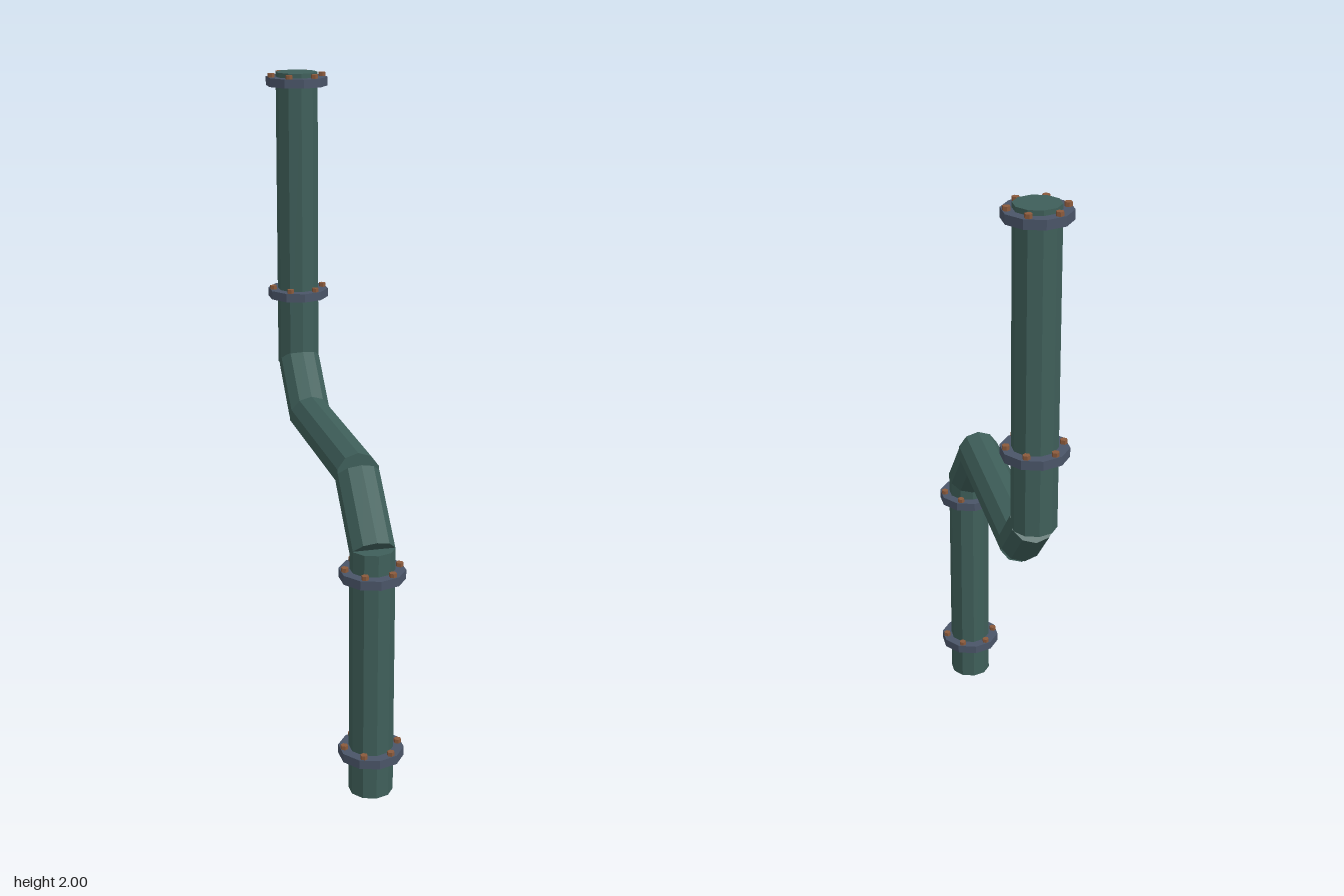
import * as THREE from 'three';

const SIDES = 10;
const PIPE_R = 0.0655;
const FLANGE_R = 0.0965;
const RUN_Z = 0.4535; // distance of each vertical run from the centre

const mat = (name, color) => {
  const m = new THREE.MeshStandardMaterial({ color });
  m.name = name;
  m.flatShading = true;
  return m;
};

export function createModel() {
  const group = new THREE.Group();
  group.name = 'pipe';
  const green = mat('pipeGreen', 0x3f5f5a);
  const steel = mat('flangeSteel', 0x4a5568);
  const rust = mat('boltRust', 0x8b5a3c);

  // Straight capped pipe between two [y, z] points in the x = 0 plane
  const addPipe = (name, [y0, z0], [y1, z1]) => {
    const a = new THREE.Vector3(0, y0, z0);
    const b = new THREE.Vector3(0, y1, z1);
    const dir = b.clone().sub(a);
    const pipe = new THREE.Mesh(
      new THREE.CylinderGeometry(PIPE_R, PIPE_R, dir.length(), SIDES), green);
    pipe.name = name;
    pipe.position.copy(a).add(b).multiplyScalar(0.5);
    pipe.quaternion.setFromUnitVectors(new THREE.Vector3(0, 1, 0), dir.normalize());
    group.add(pipe);
  };

  addPipe('lowerPipe', [0, RUN_Z], [0.768, RUN_Z]);
  addPipe('lowerElbow', [0.755, 0.456], [0.928, 0.286]);
  addPipe('crossPipe', [0.933, 0.296], [0.933, -0.312]);
  addPipe('upperElbow', [0.937, -0.303], [1.075, -0.441]);
  addPipe('upperPipe', [1.066, -RUN_Z], [2, -RUN_Z]);

  // Flange collar with a ring of six bolt heads on top
  const flangeGeo = new THREE.CylinderGeometry(FLANGE_R, FLANGE_R, 0.027, SIDES);
  const boltGeo = new THREE.CylinderGeometry(0.011, 0.011, 0.02, 6);
  const addFlange = (name, y, z) => {
    const flange = new THREE.Group();
    flange.name = name;
    flange.position.set(0, y, z);
    const collar = new THREE.Mesh(flangeGeo, steel);
    collar.name = 'collar';
    flange.add(collar);
    for (let i = 0; i < 6; i++) {
      const t = (i * Math.PI) / 3;
      const bolt = new THREE.Mesh(boltGeo, rust);
      bolt.name = 'bolt';
      bolt.position.set(Math.cos(t) * 0.081, 0.0155, Math.sin(t) * 0.081);
      flange.add(bolt);
    }
    group.add(flange);
  };

  addFlange('bottomFlange', 0.127, RUN_Z);
  addFlange('lowerElbowFlange', 0.69, RUN_Z);
  addFlange('upperElbowFlange', 1.3, -RUN_Z);
  addFlange('topFlange', 1.972, -RUN_Z);

  return group;
}
